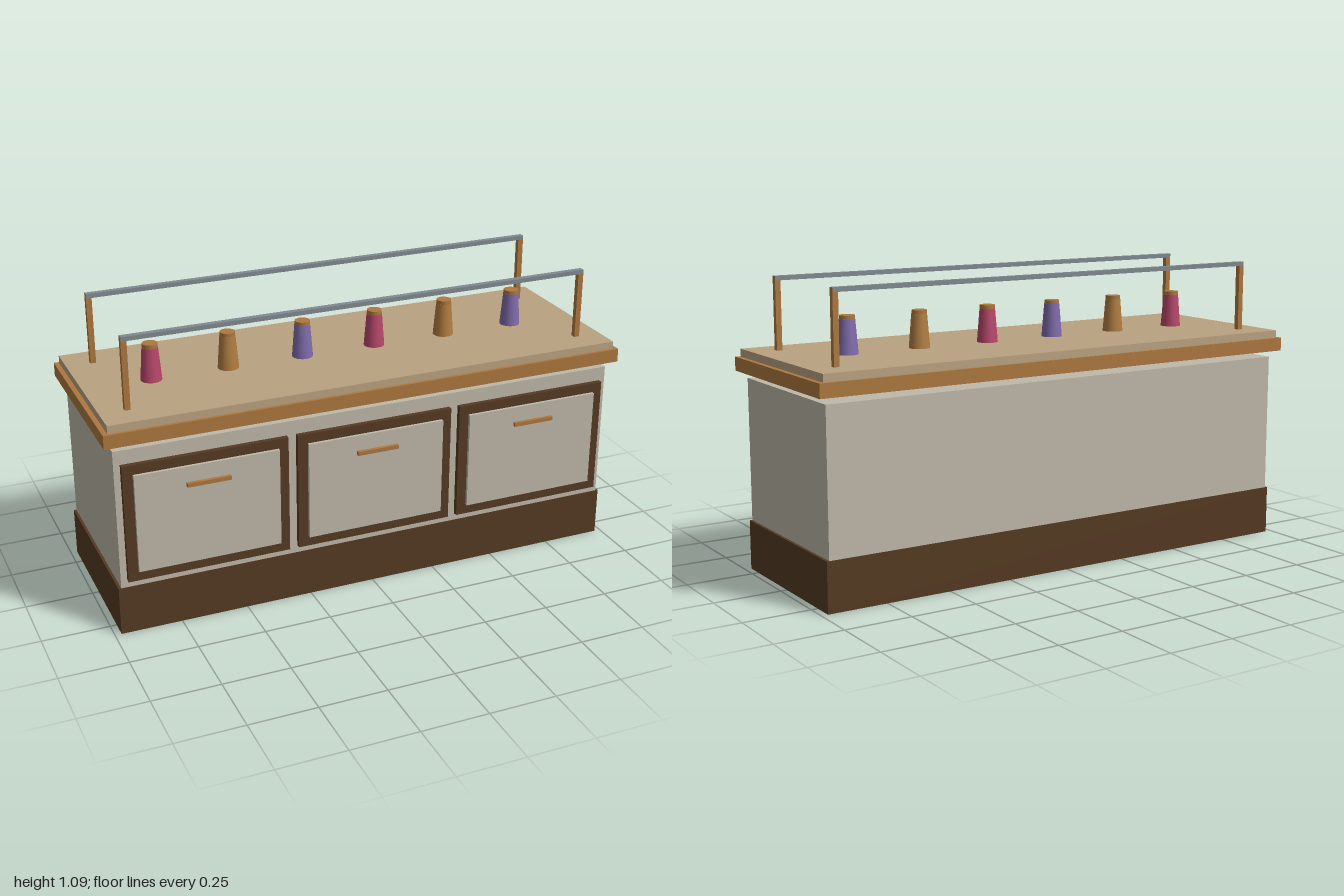
import * as THREE from 'three';

const material = (name, color) => {
  const m = new THREE.MeshStandardMaterial({ color });
  m.name = name;
  return m;
};

export function createModel() {
  const model = new THREE.Group();
  model.name = 'barCounter';

  const darkWood = material('dark wood', 0x543a22);
  const stone = material('pale stone', 0xbeb8a8);
  const wood = material('warm wood', 0xad783f);
  const tan = material('tan worktop', 0xbaa281);
  const steel = material('steel', 0x808a91);
  const pink = material('pink', 0xb8466b);
  const amber = material('amber', 0xb07d41);
  const purple = material('purple', 0x806bab);

  // Box given by its limits on each axis
  const box = (name, mat, [x0, x1], [y0, y1], [z0, z1]) => {
    const mesh = new THREE.Mesh(new THREE.BoxGeometry(x1 - x0, y1 - y0, z1 - z0), mat);
    mesh.position.set((x0 + x1) / 2, (y0 + y1) / 2, (z0 + z1) / 2);
    mesh.name = name;
    model.add(mesh);
  };
  const around = (c, size) => [c - size / 2, c + size / 2];

  // Cabinet and floating counter slab
  box('plinth', darkWood, [-0.976, 0.976], [0, 0.184], [-0.329, 0.315]);
  box('cabinet', stone, [-0.966, 0.966], [0.184, 0.714], [-0.327, 0.314]);
  box('counterSlab', wood, [-1, 1], [0.74, 0.791], [-0.357, 0.343]);
  box('worktop', tan, [-0.982, 0.982], [0.791, 0.82], [-0.346, 0.332]);

  // Three cabinet doors
  for (const x of [-0.64, 0, 0.64]) {
    box('doorFrame', darkWood, around(x, 0.605), [0.213, 0.661], [0.314, 0.333]);
    box('doorPanel', stone, around(x, 0.53), [0.252, 0.625], [0.333, 0.345]);
    box('doorHandle', wood, around(x, 0.16), [0.551, 0.566], [0.344, 0.358]);
  }

  // Rails on posts, front and back
  for (const z of [0.223, -0.236]) {
    for (const x of [-0.882, 0.882]) {
      box('railPost', wood, around(x, 0.021), [0.82, 1.086], around(z, 0.02));
    }
    box('rail', steel, around(0, 1.784), [1.071, 1.087], around(z, 0.022));
  }

  // Row of tapered cups with wooden lids
  const cupGeometry = new THREE.CylinderGeometry(0.029, 0.039, 0.125, 20);
  const lidGeometry = new THREE.CylinderGeometry(0.028, 0.028, 0.015, 20);
  const cupColors = [pink, amber, purple];
  for (let i = 0; i < 6; i++) {
    const x = -0.73 + i * 0.2895;
    const cup = new THREE.Mesh(cupGeometry, cupColors[i % 3]);
    cup.name = 'cup';
    cup.position.set(x, 0.8825, 0.002);
    const lid = new THREE.Mesh(lidGeometry, wood);
    lid.name = 'cupLid';
    lid.position.set(x, 0.9515, 0.002);
    model.add(cup, lid);
  }

  return model;
}
